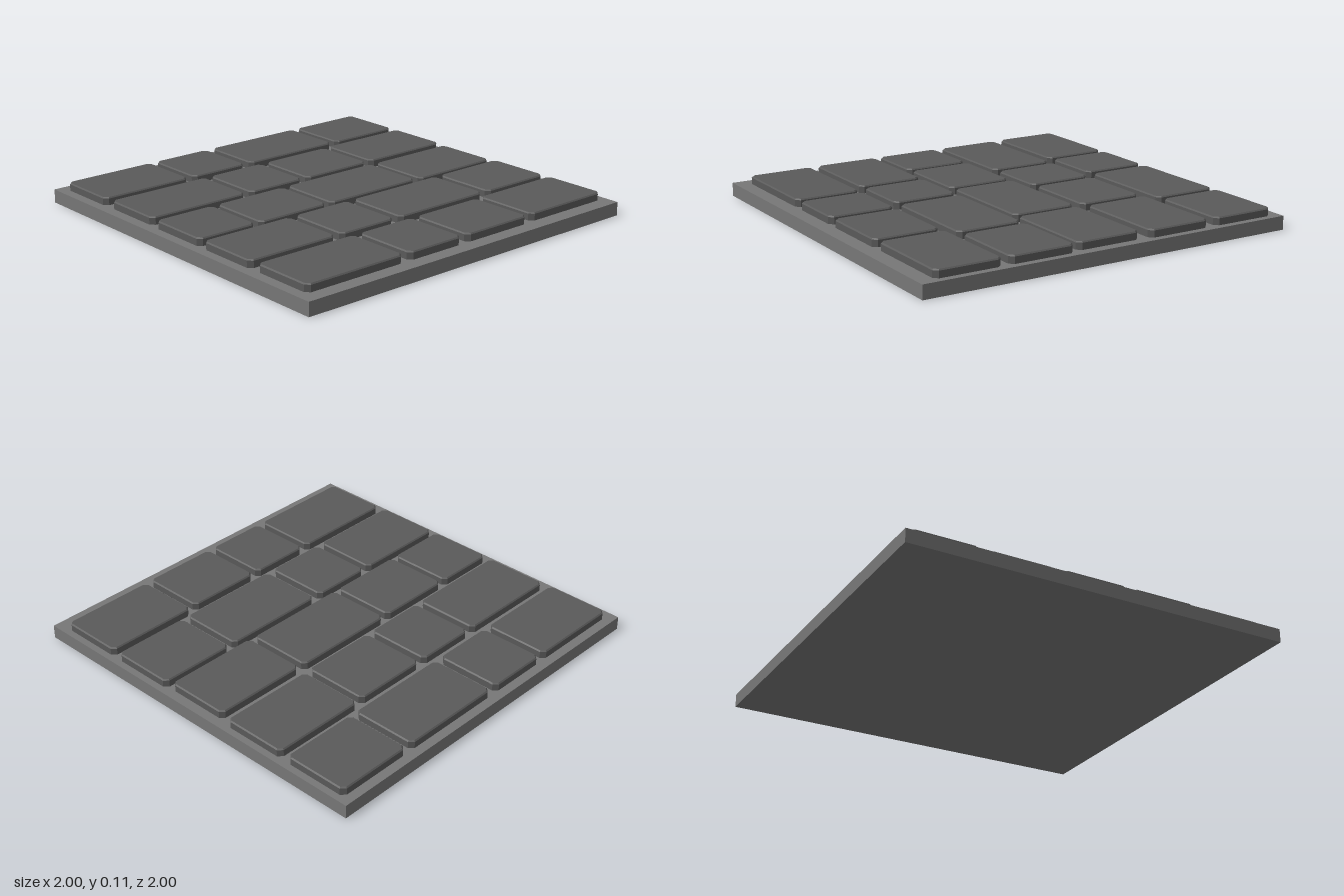
import * as THREE from 'three';

const BASE_TOP = 0.07;
const TOP = 0.11;
const SINK = 0.02; // how far each stone is set into the slab
const BEVEL = 0.006;
const CORNER = 0.022;

// Rectangular paving stone with clipped corners and a fine bevelled rim
function stoneGeometry(w, d) {
  const x = w / 2, y = d / 2, c = CORNER;
  const shape = new THREE.Shape([
    [x - c, -y], [x, -y + c], [x, y - c], [x - c, y],
    [-x + c, y], [-x, y - c], [-x, -y + c], [-x + c, -y],
  ].map(([px, py]) => new THREE.Vector2(px, py)));
  const geometry = new THREE.ExtrudeGeometry(shape, {
    depth: TOP - BASE_TOP + SINK - 2 * BEVEL,
    bevelEnabled: true, bevelThickness: BEVEL, bevelSize: BEVEL,
    bevelOffset: -BEVEL, bevelSegments: 1,
  });
  geometry.rotateX(-Math.PI / 2);
  geometry.translate(0, BASE_TOP - SINK + BEVEL, 0);
  return geometry;
}

export function createModel() {
  const model = new THREE.Group();
  model.name = 'pavedFloorTile';
  const slabMaterial = new THREE.MeshStandardMaterial({ color: 0x777777, flatShading: true });
  const stoneMaterial = new THREE.MeshStandardMaterial({ color: 0x5a5a5a, flatShading: true });

  // Mortar slab
  const slab = new THREE.Mesh(new THREE.BoxGeometry(2, BASE_TOP, 2), slabMaterial);
  slab.position.y = BASE_TOP / 2;
  slab.name = 'baseSlab';
  model.add(slab);

  // Stone spans [x0, x1] of the three row patterns
  const wide = [[-0.95, -0.445], [-0.41, -0.08], [-0.04, 0.52], [0.555, 0.965]];
  const offset = [[-0.945, -0.38], [-0.345, -0.015], [0.02, 0.425], [0.46, 0.965]];
  const middle = [[-0.95, -0.62], [-0.59, -0.18], [-0.15, 0.415], [0.445, 0.95]];

  // Rows from back to front; shift nudges the last stone along z
  const rows = [
    { z: -0.78, spans: wide, shift: 0 },
    { z: -0.39, spans: offset, shift: -0.005 },
    { z: -0.007, spans: middle, shift: 0.005 },
    { z: 0.367, spans: wide, shift: 0 },
    { z: 0.753, spans: offset, shift: -0.005 },
  ];
  rows.forEach(({ z, spans, shift }, r) => {
    const row = new THREE.Group();
    row.name = `stoneRow${r + 1}`;
    spans.forEach(([x0, x1], i) => {
      const stone = new THREE.Mesh(stoneGeometry(x1 - x0, 0.343), stoneMaterial);
      stone.position.set((x0 + x1) / 2, 0, z + (i === spans.length - 1 ? shift : 0));
      stone.name = `pavingStone${i + 1}`;
      row.add(stone);
    });
    model.add(row);
  });
  return model;
}
